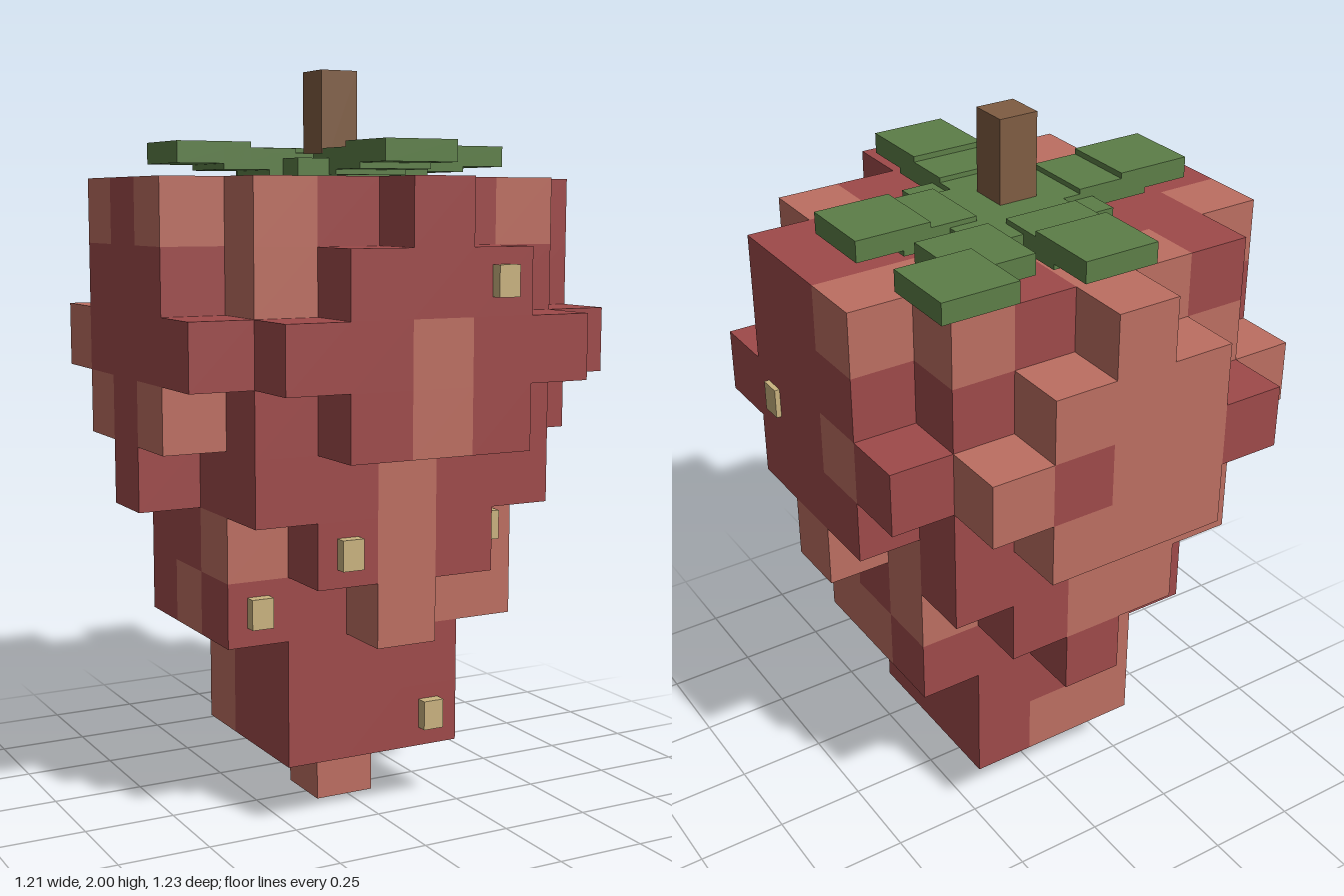
import * as THREE from 'three';
import { mergeGeometries } from 'three/addons/utils/BufferGeometryUtils.js';

const S = 0.1715, CX = -0.009, CZ = -0.017; // block size and axis of the berry

const mat = (name, color) => {
  const m = new THREE.MeshStandardMaterial({ color });
  m.name = name;
  return m;
};

// Squared radius of each block layer, bottom to top (depth counts slightly more)
const R2 = [0.5, 3, 3, 5.4, 6.5, 9.6, 12.5, 15, 12.5, 11];
const solid = (i, j, k) => j >= 0 && j < 10 && i * i + 1.18 * k * k <= R2[j];

// Shades by side, one row per layer from the bottom: D = deep, L = light
const FRONT = ['DDDLDDD', 'DDDDDDD', 'DDDDDDD', 'DDDLLLD', 'DLDLDLD',
  'DDDLDDL', 'LDDLDDD', 'DDDLDDD', 'DLDDDDD', 'LLDDDLD'];
const BACK = ['DDDLDDD', 'DDLLDDD', 'DDLDDDD', 'DDLDDDD', 'DDLLDLD',
  'DLLLDDL', 'LLLLLDD', 'LDLLDLD', 'DLLLLDD', 'LDLLDLL'];
const RIGHT = ['DDDLDDD', 'DDDDDDD', 'DDDDDDD', 'DDDLLLD', 'DDLDLDD',
  'DDLLDDD', 'LDDDDDD', 'LDLDDDD', 'LLDDDDD', 'LLLDDLD'];
const LEFT = ['DDDLDDD', 'DDLDDDD', 'DDLDDDD', 'DDDLDDD', 'DDLDLDD',
  'DLDDDDD', 'DLLDLDD', 'DLDDDDD', 'DLDDDLD', 'DDLDLLD'];
// Top rows run back to front
const TOP = ['DDLLDLD', 'LDLLDLD', 'LDDDDLL', 'DDDDDDD', 'LLDDDDD', 'DLDDDLD', 'DDDDDDD'];

function isLight(i, j, k) {
  let c;
  if (j === 9) c = TOP[k + 3][i + 3];
  else if (!solid(i, j, k + 1)) c = FRONT[j][i + 3];
  else if (!solid(i, j, k - 1)) c = BACK[j][i + 3];
  else if (!solid(i + 1, j, k)) c = RIGHT[j][k + 3];
  else if (!solid(i - 1, j, k)) c = LEFT[j][k + 3];
  else c = 'D';
  return c === 'L';
}

// Collects only the exposed block faces, sorted by shade
function berryGeometries() {
  const dirs = [[1, 0, 0], [-1, 0, 0], [0, 1, 0], [0, -1, 0], [0, 0, 1], [0, 0, -1]];
  const faces = dirs.map(([x, y, z]) => {
    const g = new THREE.PlaneGeometry(S, S).translate(0, 0, S / 2);
    if (y) g.rotateX(-y * Math.PI / 2);
    else g.rotateY(Math.atan2(x, z));
    return g;
  });
  const light = [], deep = [];
  for (let j = 0; j < 10; j++)
    for (let i = -3; i <= 3; i++)
      for (let k = -3; k <= 3; k++) {
        if (!solid(i, j, k)) continue;
        const list = isLight(i, j, k) ? light : deep;
        dirs.forEach(([x, y, z], f) => {
          if (!solid(i + x, j + y, k + z))
            list.push(faces[f].clone().translate(CX + i * S, (j + 0.5) * S, CZ + k * S));
        });
      }
  return { light: mergeGeometries(light), deep: mergeGeometries(deep) };
}

export function createModel() {
  const model = new THREE.Group();
  model.name = 'blockBerry';
  const deepRed = mat('deepRed', 0x9e4a4a), lightRed = mat('lightRed', 0xbc6e61);
  const green = mat('leafGreen', 0x5c7e47), brown = mat('stemBrown', 0x7f5c42);
  const cream = mat('seedCream', 0xc9b27f);

  const add = (name, geometry, material, parent = model) => {
    const m = new THREE.Mesh(geometry, material);
    m.name = name;
    parent.add(m);
    return m;
  };
  const box = (name, material, parent, w, h, d, x, y, z) =>
    add(name, new THREE.BoxGeometry(w, h, d), material, parent).position.set(x, y, z);

  // Fruit body
  const body = berryGeometries();
  add('berryDeepBlocks', body.deep, deepRed);
  add('berryLightBlocks', body.light, lightRed);

  // Leaf crown: a centre plate and five leaves rising in overlapping steps
  const crown = new THREE.Group();
  crown.name = 'leafCrown';
  model.add(crown);
  box('crownCentre', green, crown, 0.385, 0.045, 0.385, CX, 1.742, CZ);
  for (const [dx, dz] of [[1, 0], [-1, 0], [0, 1], [0, -1], [1, -1]]) {
    const leaf = new THREE.Group();
    leaf.name = 'leaf';
    crown.add(leaf);
    [[0.128, 1.75], [0.257, 1.763], [0.386, 1.778]].forEach(([r, y]) =>
      box('leafStep', green, leaf, 0.206, 0.056, 0.206, CX + dx * r, y, CZ + dz * r));
  }

  // Stem
  box('stem', brown, model, 0.108, 0.28, 0.108, CX, 1.86, CZ);

  // Seeds on the front and on the +x side
  const seeds = new THREE.Group();
  seeds.name = 'seeds';
  model.add(seeds);
  for (const [x, y, z] of [[0.16, 1.46, 0.583], [0.333, 0.775, 0.24], [-0.182, 0.775, 0.412],
    [-0.353, 0.605, 0.24], [0.16, 0.263, 0.24]])
    box('seed', cream, seeds, 0.06, 0.08, 0.064, x, y, z);
  box('seed', cream, seeds, 0.03, 0.08, 0.06, 0.59, 1.29, 0.154);

  return model;
}
